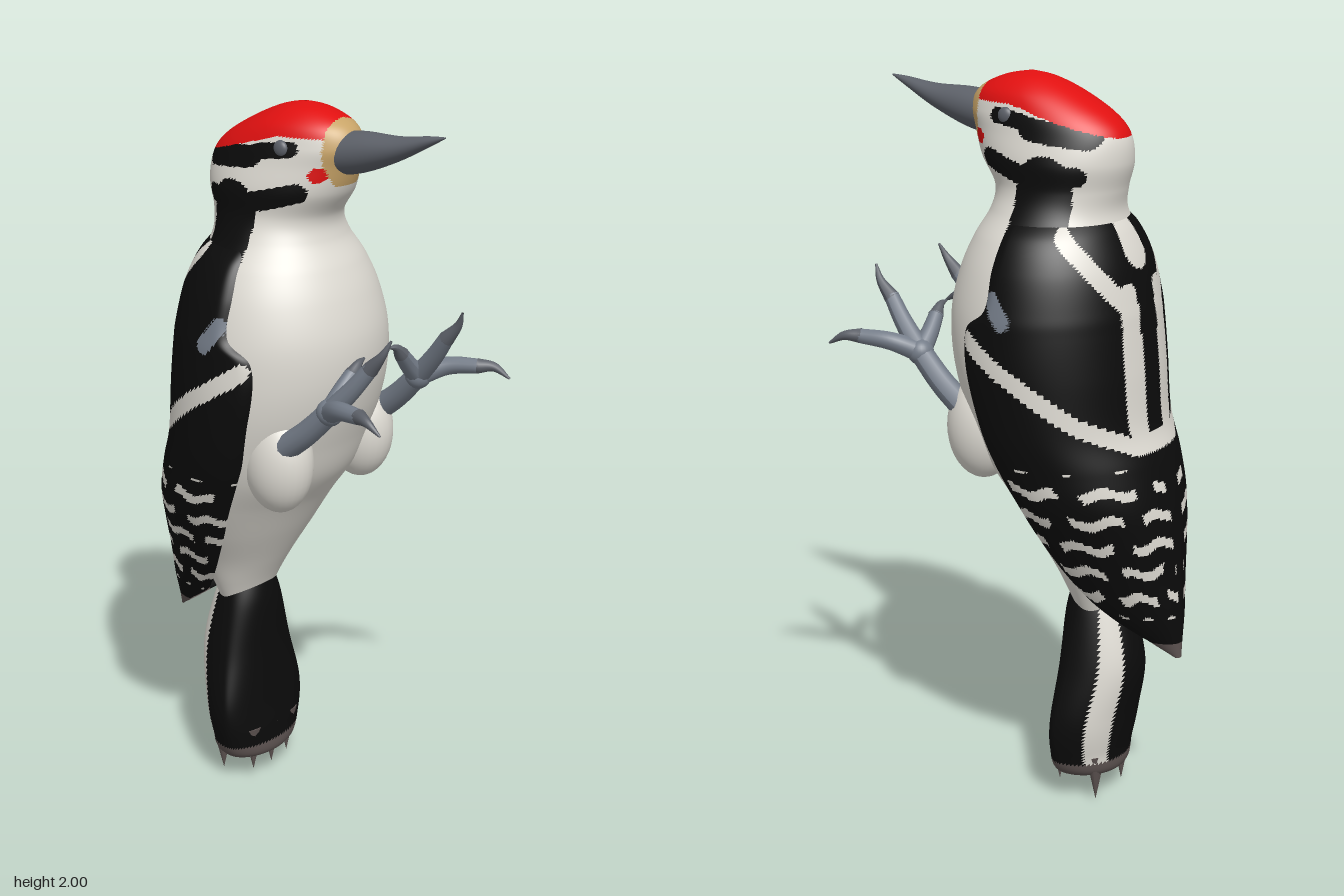
import * as THREE from 'three';

const flat = (name, color) => {
  const m = new THREE.MeshStandardMaterial({ color, side: THREE.DoubleSide });
  m.name = name;
  return m;
};

// Catmull-Rom blend through table rows, t from 0 to 1
function sample(rows, t) {
  const n = rows.length - 1;
  const f = Math.min(t * n, n - 1e-6), i = Math.floor(f), k = f - i;
  const at = (j) => rows[Math.max(0, Math.min(n, j))];
  return rows[0].map((_, c) => {
    const [p, q, r, s] = [at(i - 1)[c], at(i)[c], at(i + 1)[c], at(i + 2)[c]];
    return q + 0.5 * k * (r - p + k * (2 * p - 5 * q + 4 * r - s + k * (3 * (q - r) + s - p)));
  });
}

// Egg-shaped section: a = 0 is the back, a = PI the front. Row: y, zFront, zBack, zWidest, halfWidth
function section([y, zf, zb, zc, w], a, scale = 1) {
  const c = Math.cos(a), depth = c > 0 ? zc - zb : zf - zc;
  return new THREE.Vector3(w * Math.sin(a) * scale, y, zc - c * depth * scale);
}

// Grid surface whose faces are sorted into one group per colour by paint(centre, angle)
function surface(name, nu, nv, closed, point, paint, mats) {
  const cols = closed ? nu : nu + 1, pts = [], angles = [];
  for (let j = 0; j <= nv; j++) for (let i = 0; i < cols; i++) {
    const { p, a } = point(i / nu, j / nv);
    pts.push(p);
    angles.push(a);
  }
  const bins = mats.map(() => []);
  const face = (a, b, c) => {
    const mid = pts[a].clone().add(pts[b]).add(pts[c]).divideScalar(3);
    bins[paint(mid, Math.abs(angles[a]))].push(a, b, c);
  };
  for (let j = 0; j < nv; j++) for (let i = 0; i < nu; i++) {
    const a = j * cols + i, b = j * cols + (i + 1) % cols;
    face(a, a + cols, b);
    face(b, a + cols, b + cols);
  }
  const g = new THREE.BufferGeometry().setFromPoints(pts);
  g.setIndex(bins.flat());
  let start = 0;
  bins.forEach((bin, m) => { if (bin.length) g.addGroup(start, bin.length, m); start += bin.length; });
  g.computeVertexNormals();
  const mesh = new THREE.Mesh(g, mats);
  mesh.name = name;
  return mesh;
}

const loft = (name, rows, nu, nv, paint, mats) => surface(name, nu, nv, true, (u, v) => {
  const a = u * Math.PI * 2;
  return { p: section(sample(rows, v), a), a };
}, paint, mats);

// True when (x, y) lies within r of a polyline
function near(x, y, path, r) {
  for (let i = 1; i < path.length; i++) {
    const [ax, ay] = path[i - 1], dx = path[i][0] - ax, dy = path[i][1] - ay;
    const t = THREE.MathUtils.clamp(((x - ax) * dx + (y - ay) * dy) / (dx * dx + dy * dy), 0, 1);
    if (Math.hypot(x - ax - t * dx, y - ay - t * dy) < r) return true;
  }
  return false;
}

// Tube that tapers from r0 to r1
function taperTube(name, points, r0, r1, mat) {
  const n = 16, curve = new THREE.CatmullRomCurve3(points.map((p) => new THREE.Vector3(...p)));
  const g = new THREE.TubeGeometry(curve, n, 1, 12), pos = g.attributes.position, v = new THREE.Vector3();
  for (let i = 0; i < pos.count; i++) {
    const t = Math.floor(i / 13) / n, c = curve.getPointAt(t);
    v.fromBufferAttribute(pos, i).sub(c).multiplyScalar(r0 + (r1 - r0) * t).add(c);
    pos.setXYZ(i, v.x, v.y, v.z);
  }
  g.computeVertexNormals();
  const mesh = new THREE.Mesh(g, mat);
  mesh.name = name;
  return mesh;
}

const BODY = [
  [0.54, -0.17, -0.28, -0.22, 0.08], [0.62, -0.135, -0.3, -0.22, 0.115], [0.7, -0.09, -0.36, -0.22, 0.15],
  [0.8, -0.03, -0.4, -0.2, 0.2], [0.9, 0.03, -0.4, -0.18, 0.245], [1.0, 0.1, -0.385, -0.14, 0.275],
  [1.1, 0.14, -0.36, -0.11, 0.295], [1.2, 0.175, -0.35, -0.09, 0.305], [1.3, 0.195, -0.35, -0.08, 0.305],
  [1.4, 0.195, -0.335, -0.08, 0.297], [1.5, 0.17, -0.315, -0.08, 0.272], [1.58, 0.135, -0.285, -0.08, 0.235],
  [1.65, 0.095, -0.262, -0.08, 0.185], [1.71, 0.09, -0.27, -0.09, 0.16], [1.78, 0.135, -0.288, -0.09, 0.158],
  [1.85, 0.16, -0.28, -0.08, 0.14], [1.9, 0.175, -0.235, -0.06, 0.125], [1.95, 0.15, -0.15, -0.02, 0.1],
  [1.985, 0.08, -0.07, 0, 0.055], [2.0, 0.004, -0.004, 0, 0.003],
];
// Last column: z of the wing's front edge
const WINGS = [
  [0.45, -0.455, -0.468, -0.458, 0.012, -0.457], [0.5, -0.38, -0.468, -0.39, 0.05, -0.39],
  [0.58, -0.26, -0.468, -0.3, 0.11, -0.28], [0.68, -0.1, -0.462, -0.24, 0.165, -0.2],
  [0.8, -0.03, -0.455, -0.2, 0.225, -0.13], [0.9, 0.03, -0.44, -0.18, 0.27, -0.08],
  [1.0, 0.1, -0.415, -0.14, 0.295, -0.03], [1.1, 0.14, -0.38, -0.11, 0.312, 0.01],
  [1.25, 0.185, -0.367, -0.085, 0.32, 0.05], [1.36, 0.195, -0.356, -0.08, 0.315, 0.05],
  [1.42, 0.19, -0.348, -0.08, 0.306, -0.02], [1.52, 0.165, -0.325, -0.08, 0.278, -0.03],
  [1.6, 0.125, -0.288, -0.08, 0.234, -0.04], [1.65, 0.09, -0.25, -0.08, 0.17, -0.04],
];
const TAIL = [
  [0.07, -0.18, -0.2, -0.19, 0.01], [0.08, -0.11, -0.285, -0.18, 0.12], [0.15, -0.105, -0.3, -0.17, 0.155],
  [0.25, -0.115, -0.32, -0.17, 0.166], [0.4, -0.125, -0.345, -0.19, 0.135], [0.55, -0.13, -0.31, -0.2, 0.1],
  [0.64, -0.15, -0.27, -0.21, 0.07],
];

// White wing strokes: path in (degrees from the spine, y), radius
const WING_STROKES = [
  [[[0, 1.66], [0, 1.57]], 0.06],
  [[[55, 1.61], [40, 1.54], [28, 1.48], [16, 1.42]], 0.026],
  [[[15, 1.45], [14, 1.1]], 0.035],
  [[[112, 1.34], [80, 1.24], [50, 1.13], [20, 1.06], [0, 1.06]], 0.024],
].map(([path, r]) => [path.map(([d, y]) => [d * 0.0052, y]), r]);

export function createModel() {
  const bird = new THREE.Group();
  bird.name = 'woodpecker';
  const white = flat('white plumage', 0xdedbd3), black = flat('black plumage', 0x0b0b0b);
  const red = flat('red crown', 0xe01010), tan = flat('tan bristles', 0xc8a468);
  const grey = flat('blue grey skin', 0x747c88), horn = flat('dark horn', 0x5c6068);
  const brown = flat('brown feather tips', 0x5e5452);

  // Body and head: 0 white, 1 black, 2 red, 3 tan
  const paintBody = ({ x, y, z }) => {
    if (y < 1.58) return 0;
    if (y > 1.8 && z > 0.118 + Math.max(0, 1.86 - y) * 0.3) return 3;
    if (y > 1.925 + 0.28 * Math.min(z, 0)) return 2;
    if (Math.abs(x) < 0.05) return 0;
    if (near(z, y, [[0.105, 1.83], [0.11, 1.835]], 0.018)) return 2;
    if (near(z, y, [[0.04, 1.895], [-0.04, 1.885], [-0.1, 1.868]], 0.02)) return 1;
    if (near(z, y, [[-0.07, 1.868], [-0.225, 1.85]], 0.028)) return 1;
    if (near(z, y, [[0.06, 1.785], [-0.05, 1.755], [-0.2, 1.755]], 0.026)) return 1;
    return near(z, y, [[-0.12, 1.73], [-0.12, 1.56]], 0.075) ? 1 : 0;
  };
  bird.add(loft('body', BODY, 120, 230, paintBody, [white, black, red, tan]));

  // Folded wings wrapping the back: 0 white, 1 black, 2 grey, 3 brown
  const paintWings = ({ y }, a) => {
    const s = a * 0.298;
    if (y < 0.495) return 3;
    if (near(s, y, [[0.5, 1.45], [0.46, 1.4]], 0.025)) return 2;
    if (WING_STROKES.some(([path, r]) => near(s, y, path, r))) return 0;
    if (y > 1.01 || y < 0.57) return 1;
    const row = (y + 0.009 * Math.sin(a * 13)) / 0.078;
    const bar = row - Math.floor(row) < 0.36;
    const gap = Math.sin(a * 8 + Math.floor(row) * 1.7) < -0.65;
    return bar && !gap && a > 0.12 ? 0 : 1;
  };
  bird.add(surface('foldedWings', 150, 170, false, (u, v) => {
    const row = sample(WINGS, v), [, zf, , zc, , edge] = row;
    const reach = Math.PI / 2 + Math.asin(THREE.MathUtils.clamp((edge - zc) / Math.max(zf - zc, 1e-4), 0, 0.95));
    const t = u * 2 - 1, tuck = Math.max(0, (Math.abs(t) - 0.92) / 0.08);
    return { p: section(row, t * reach, 1 - 0.05 * tuck * tuck), a: t * reach };
  }, paintWings, [white, black, grey, brown]));

  // Tail with a white stripe down each side of the back
  const paintTail = ({ y }, angle) => {
    const a = Math.min(angle, Math.PI * 2 - angle);
    if (y < 0.12) return 2;
    return a > 0.47 && a < 0.98 ? 0 : 1;
  };
  bird.add(loft('tail', TAIL, 72, 60, paintTail, [white, black, brown]));
  for (const [x, z, low] of [[-0.075, -0.25, 0], [0.075, -0.25, 0], [0, -0.13, 0.03], [-0.075, -0.135, 0.035], [0.075, -0.135, 0.035]]) {
    const tip = new THREE.Mesh(new THREE.ConeGeometry(0.04, 0.14, 16), brown);
    tip.name = 'tailFeatherTip';
    tip.rotation.x = Math.PI;
    tip.scale.z = 0.6;
    tip.position.set(x, low + 0.07, z);
    bird.add(tip);
  }

  // Beak: elliptical rings along z. Row: z, y, halfHeight, halfWidth
  const beakRows = [[0.44, 1.96, 0.002, 0.002], [0.39, 1.944, 0.014, 0.016], [0.3, 1.914, 0.032, 0.036],
    [0.2, 1.893, 0.052, 0.054], [0.12, 1.88, 0.058, 0.066]];
  bird.add(surface('beak', 32, 32, true, (u, v) => {
    const [z, y, h, w] = sample(beakRows, v), a = u * Math.PI * 2;
    return { p: new THREE.Vector3(w * Math.cos(a), y + h * Math.sin(a), z), a };
  }, () => 0, [horn]));

  // Eyes, thighs, legs and toes on both sides
  for (const s of [1, -1]) {
    const ball = (name, r, mat, pos, scale) => {
      const m = new THREE.Mesh(new THREE.SphereGeometry(r, 28, 20), mat);
      m.name = name;
      m.position.set(s * pos[0], pos[1], pos[2]);
      m.scale.set(...scale);
      bird.add(m);
    };
    const limb = (name, pts, r0, r1, mat) =>
      bird.add(taperTube(name, pts.map(([x, y, z]) => [s * x, y, z]), r0, r1, mat));
    ball('eye', 0.022, horn, [0.115, 1.895, 0.012], [0.6, 1, 1]);
    ball('thigh', 1, white, [0.175, 1.07, 0.05], [0.085, 0.14, 0.1]);
    ball('footJoint', 0.036, grey, [0.192, 1.255, 0.235], [1, 1, 1]);
    limb('leg', [[0.205, 1.11, 0.07], [0.2, 1.18, 0.16], [0.192, 1.255, 0.235]], 0.036, 0.031, grey);
    limb('outerToe', [[0.192, 1.255, 0.235], [0.235, 1.285, 0.3], [0.262, 1.295, 0.385]], 0.03, 0.02, grey);
    limb('outerClaw', [[0.26, 1.295, 0.38], [0.28, 1.295, 0.42], [0.287, 1.27, 0.467]], 0.021, 0.003, horn);
    limb('middleToe', [[0.192, 1.255, 0.235], [0.178, 1.33, 0.3], [0.165, 1.39, 0.345]], 0.03, 0.021, grey);
    limb('middleClaw', [[0.166, 1.385, 0.342], [0.165, 1.43, 0.38], [0.155, 1.47, 0.4]], 0.022, 0.003, horn);
    limb('innerToe', [[0.192, 1.255, 0.235], [0.145, 1.3, 0.235], [0.105, 1.34, 0.24]], 0.029, 0.02, grey);
    limb('innerClaw', [[0.108, 1.337, 0.24], [0.08, 1.362, 0.242], [0.055, 1.368, 0.24]], 0.021, 0.003, horn);
  }
  return bird;
}
